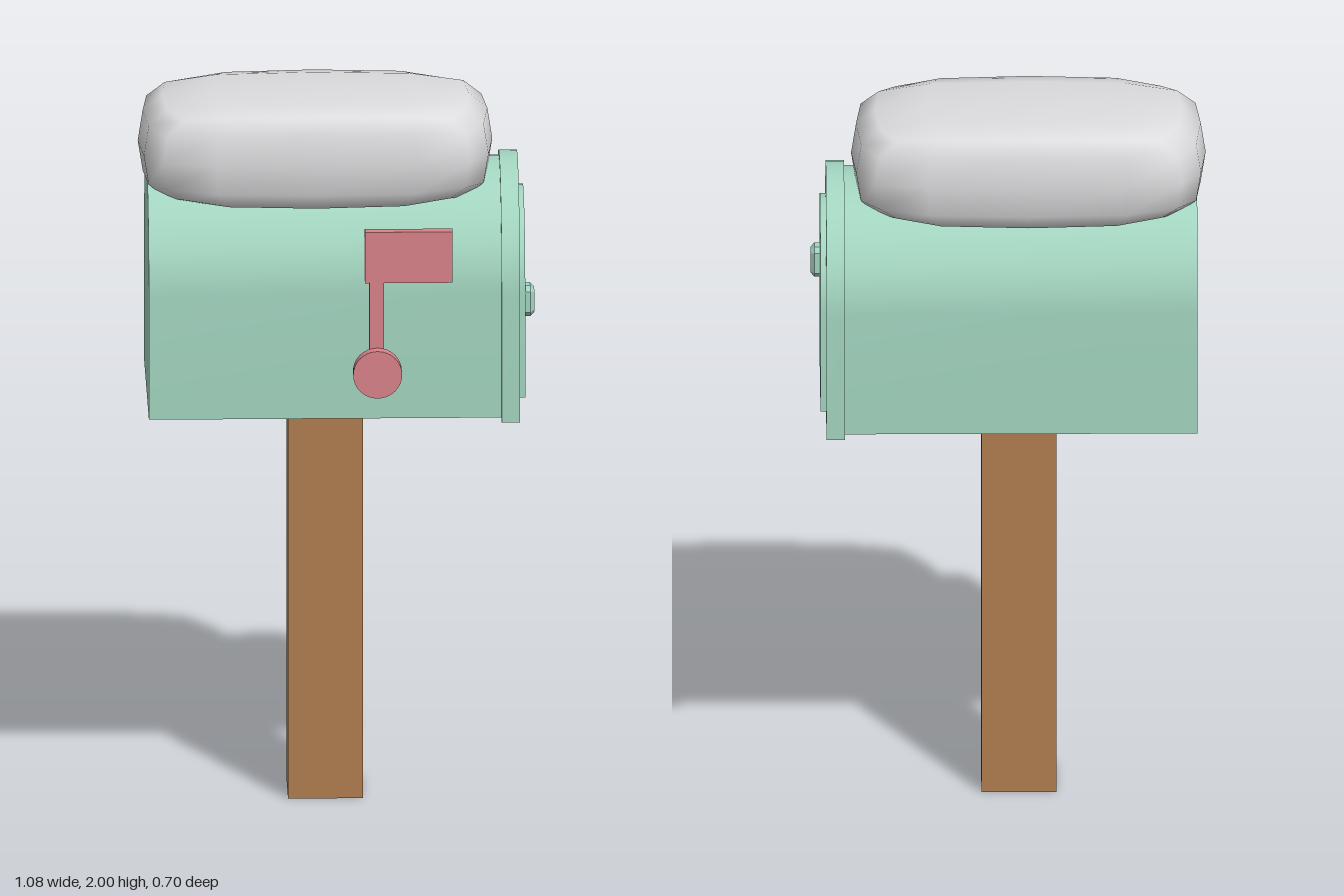
import * as THREE from 'three';
import { mergeVertices, toCreasedNormals } from 'three/addons/utils/BufferGeometryUtils.js';

const material = (name, color) => {
  const m = new THREE.MeshStandardMaterial({ color });
  m.name = name;
  return m;
};

export function createModel() {
  const green = material('mint green', 0xa3d5c0);
  const red = material('flag red', 0xd98288);
  const brown = material('post brown', 0xb07e4f);
  const white = material('snow white', 0xdcdcde);

  const model = new THREE.Group();
  model.name = 'snowyMailbox';
  const add = (name, geometry, mat, parent = model) => {
    const mesh = new THREE.Mesh(geometry, mat);
    mesh.name = name;
    parent.add(mesh);
    return mesh;
  };

  // box given by its limits on each axis
  const block = (x0, x1, y0, y1, z0, z1) =>
    new THREE.BoxGeometry(x1 - x0, y1 - y0, z1 - z0)
      .translate((x0 + x1) / 2, (y0 + y1) / 2, (z0 + z1) / 2);

  // round-topped slab running along x from x0 to x1
  const arch = (x0, x1, bottom, top, r, z) => {
    const s = new THREE.Shape();
    s.moveTo(-r, bottom);
    s.lineTo(r, bottom);
    s.lineTo(r, top - r);
    s.absarc(0, top - r, r, 0, Math.PI, false);
    s.closePath();
    const g = new THREE.ExtrudeGeometry(s, { depth: x1 - x0, bevelEnabled: false, curveSegments: 12 });
    g.rotateY(Math.PI / 2).translate(x0, 0, z);
    return toCreasedNormals(g, 0.6);
  };

  // post
  add('post', block(-0.13, 0.075, 0, 1.15, -0.135, 0.07), brown);

  // box with front rim and door
  add('boxBody', arch(-0.515, 0.455, 1.14, 1.79, 0.298, -0.035), green);
  add('frontRim', arch(0.45, 0.5, 1.13, 1.803, 0.315, -0.035), green);
  add('door', arch(0.495, 0.516, 1.18, 1.71, 0.235, -0.03), green);

  // door handle: chamfered block
  const h = new THREE.Shape();
  const [a, b, c] = [0.019, 0.033, 0.008];
  [[-a + c, -b], [a - c, -b], [a, -b + c], [a, b - c], [a - c, b], [-a + c, b], [-a, b - c], [-a, -b + c]]
    .forEach(([x, y], i) => (i ? h.lineTo(x, y) : h.moveTo(x, y)));
  h.closePath();
  const handle = new THREE.ExtrudeGeometry(h, {
    depth: 0.017, bevelThickness: 0.011, bevelSize: 0.011, bevelSegments: 1,
  });
  handle.rotateY(Math.PI / 2).translate(0.513, 1.45, 0.171);
  add('doorHandle', handle, green);

  // signal flag on the front side
  const flag = new THREE.Group();
  flag.name = 'signalFlag';
  model.add(flag);
  add('flagArm', block(0.087, 0.127, 1.257, 1.54, 0.281, 0.313), red, flag);
  add('flagPlate', block(0.075, 0.315, 1.54, 1.685, 0.281, 0.313), red, flag);
  const pivot = new THREE.CylinderGeometry(0.067, 0.067, 0.037, 32);
  pivot.rotateX(Math.PI / 2).translate(0.109, 1.288, 0.3285);
  add('flagPivot', pivot, red, flag);

  // snow: a box grid swelling towards the middle of every side
  const snow = new THREE.BoxGeometry(2, 2, 2, 4, 4, 4);
  snow.deleteAttribute('uv');
  snow.deleteAttribute('normal');
  const pos = snow.attributes.position;
  const along = (t) => Math.sign(t) * [0, 0.66, 1][Math.round(Math.abs(t) * 2)];
  const shrink = (t) => [1, 0.972, 0.866][Math.round(Math.abs(t) * 2)];
  for (let i = 0; i < pos.count; i++) {
    const [u, v, w] = [pos.getX(i), pos.getY(i), pos.getZ(i)];
    pos.setXYZ(i,
      0.485 * along(u) * shrink(v) * shrink(w),
      0.15 * along(v) * shrink(u) * shrink(w),
      0.268 * along(w) * shrink(u) * shrink(v));
  }
  const snowSmooth = mergeVertices(snow);
  snowSmooth.computeVertexNormals();
  add('snowCap', snowSmooth, white).position.set(-0.054, 1.85, -0.033);

  return model;
}
